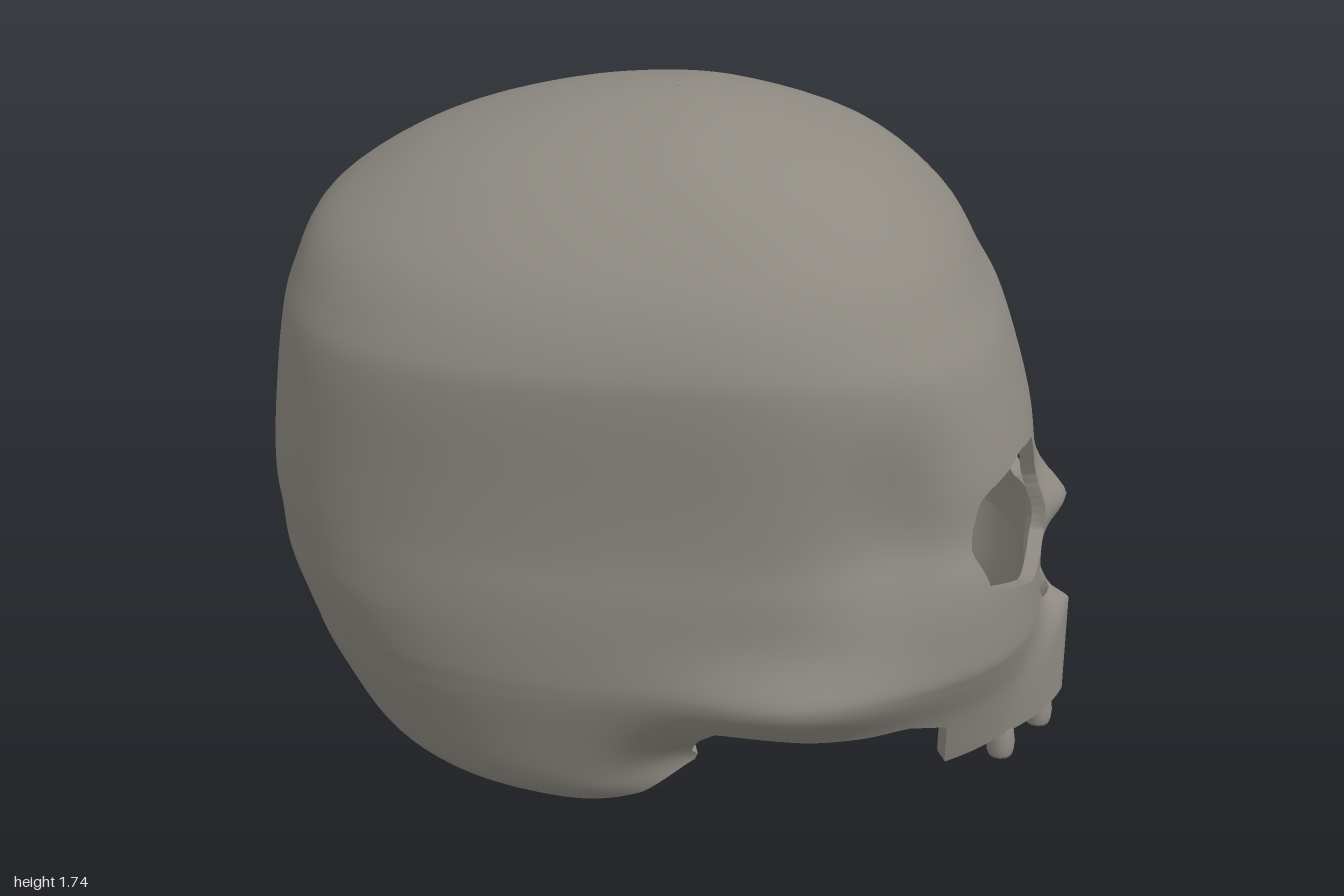
import * as THREE from 'three';

const bone = new THREE.MeshStandardMaterial({ color: 0x8e8a82 });
bone.name = 'bone';

const THICK = 0.035, COLS = 192, STEPS = 5;

// Horizontal sections: height, back x, front x, half width, back and front roundness
const levels = [
  [-0.03, -0.55, 0.92, 0.41, 2.6, 2],
  [0, -0.6, 0.92, 0.44, 2.6, 2],
  [0.07, -0.71, 0.92, 0.52, 2.6, 2],
  [0.15, -0.8, 0.92, 0.565, 2.5, 2.08],
  [0.3, -0.88, 0.92, 0.605, 2.5, 2.35],
  [0.38, -0.915, 0.92, 0.625, 2.5, 2.6],
  [0.43, -0.93, 0.92, 0.635, 2.5, 2.8],
  [0.48, -0.945, 0.918, 0.64, 2.55, 3],
  [0.6, -0.98, 0.915, 0.645, 2.6, 3],
  [0.7, -0.99, 0.915, 0.645, 2.6, 2.82],
  [0.8, -1, 0.89, 0.64, 2.6, 2.65],
  [0.95, -0.99, 0.87, 0.645, 2.6, 2.65],
  [1.18, -0.96, 0.8, 0.66, 2.55, 2.6],
  [1.3, -0.93, 0.74, 0.65, 2.4, 2.45],
  [1.45, -0.85, 0.655, 0.575, 2.25, 2.35],
  [1.6, -0.63, 0.49, 0.42, 2.15, 2.25],
  [1.69, -0.37, 0.26, 0.26, 2.1, 2.1],
  [1.73, -0.15, 0.1, 0.1, 2, 2],
  [1.738, -0.002, 0.002, 0.002, 2, 2],
];

// Openings: sockets and nose in (z, y), underside in (x, y)
const socket = [[0.09, 0.79], [0.14, 0.925], [0.27, 0.95], [0.43, 0.905], [0.46, 0.765], [0.455, 0.67], [0.285, 0.605], [0.12, 0.65]];
const nose = [[0, 0.7], [0.045, 0.61], [0.09, 0.45], [0.05, 0.43], [-0.05, 0.43], [-0.09, 0.45], [-0.045, 0.61]];
const underside = [
  [-1.3, 0], [-0.6, 0], [-0.47, 0.03], [-0.3, 0.01], [-0.2, 0.01], [-0.05, 0.04], [0.09, 0.12], [0.07, 0.15],
  [0.1, 0.27], [0.14, 0.33], [0.36, 0.3], [0.5, 0.3], [0.6, 0.31], [0.695, 0.27], [0.695, 0.13], [1.3, 0.13], [1.3, -1], [-1.3, -1],
];

// Signed distance to a polygon, positive outside it
function distance(poly, x, y) {
  let best = Infinity, inside = false;
  poly.forEach(([ax, ay], i) => {
    const [bx, by] = poly[(i + 1) % poly.length];
    const dx = bx - ax, dy = by - ay;
    const t = THREE.MathUtils.clamp(((x - ax) * dx + (y - ay) * dy) / (dx * dx + dy * dy), 0, 1);
    best = Math.min(best, Math.hypot(x - ax - t * dx, y - ay - t * dy));
    if ((ay > y) !== (by > y) && x < ax + ((y - ay) / dy) * dx) inside = !inside;
  });
  return inside ? -best : best;
}

function keep(p) {
  const under = distance(underside, p.x, p.y);
  if (p.x < 0.3) return under;
  return Math.min(under, distance(socket, Math.abs(p.z), p.y), distance(nose, p.z, p.y));
}

// Smooth blend of the section table
function sectionAt(v) {
  const i = Math.min(Math.floor(v), levels.length - 2), t = v - i;
  const row = (k) => levels[THREE.MathUtils.clamp(k, 0, levels.length - 1)];
  return row(i).map((b, k) => {
    const a = row(i - 1)[k], c = row(i + 1)[k], d = row(i + 2)[k];
    return b + 0.5 * t * (c - a + t * (2 * a - 5 * b + 4 * c - d + t * (3 * (b - c) + d - a)));
  });
}

const bump = (x, y, cx, cy, sx, sy) => Math.exp(-(((x - cx) / sx) ** 2) - ((y - cy) / sy) ** 2);

function surfacePoint(section, angle) {
  const [y, back, front, width, nb, nf] = section;
  const c = Math.cos(angle), s = Math.sin(angle);
  const a = c > 0 ? front : -back, n = c > 0 ? nf : nb;
  const r = (Math.abs(c / a) ** n + Math.abs(s / width) ** n) ** (-1 / n);
  let x = r * c, z = r * s;
  // cheek arch, hollow temple and the skull base turning in behind the jaw
  const side = 0.065 * bump(x, y, 0.33, 0.43, 0.27, 0.1)
    - 0.05 * bump(x, y, 0.54, 0.86, 0.13, 0.22)
    - 0.17 * bump(x, y, 0.12, 0.13, 0.2, 0.13);
  z += side * THREE.MathUtils.clamp(z / 0.3, -1, 1);
  // nasal bridge, and the wedge-shaped front of the jaw
  if (c > 0) {
    const off = Math.abs(z);
    const wedge = Math.max(0, 1 - off / 0.24) * (1 - THREE.MathUtils.smoothstep(y, 0.4 - off, 0.45 + off * 0.5));
    x += 0.06 * bump(z, y, 0, 0.7, 0.07, 0.07) + 0.08 * wedge;
  }
  return new THREE.Vector3(x, y, z);
}

function geometryFrom(positions, normals) {
  const g = new THREE.BufferGeometry();
  g.setAttribute('position', new THREE.Float32BufferAttribute(positions, 3));
  if (normals) g.setAttribute('normal', new THREE.Float32BufferAttribute(normals, 3));
  else g.computeVertexNormals();
  return g;
}

function buildShell() {
  // Full closed surface with smooth normals
  const rows = (levels.length - 1) * STEPS, pts = [], index = [];
  for (let i = 0; i <= rows; i++) {
    const section = sectionAt(i / STEPS);
    for (let j = 0; j < COLS; j++) pts.push(surfacePoint(section, (j / COLS) * Math.PI * 2));
  }
  for (let i = 0; i < rows; i++) {
    for (let j = 0; j < COLS; j++) {
      const a = i * COLS + j, b = i * COLS + ((j + 1) % COLS);
      index.push(a, a + COLS, b, b, a + COLS, b + COLS);
    }
  }
  const grid = new THREE.BufferGeometry().setFromPoints(pts);
  grid.setIndex(index);
  grid.computeVertexNormals();
  const verts = pts.map((p, i) => ({ p, n: new THREE.Vector3().fromBufferAttribute(grid.attributes.normal, i), f: keep(p) }));

  // Cut the openings, then add the inner wall and the rims
  const outer = [], outerN = [], inner = [], innerN = [], rim = [];
  const inset = (v) => v.p.clone().addScaledVector(v.n, -THICK);
  for (let k = 0; k < index.length; k += 3) {
    const tri = [0, 1, 2].map((m) => verts[index[k + m]]), poly = [];
    let exit, entry;
    tri.forEach((a, m) => {
      const b = tri[(m + 1) % 3];
      if (a.f >= 0) poly.push(a);
      if ((a.f >= 0) !== (b.f >= 0)) {
        const t = a.f / (a.f - b.f);
        const v = { p: a.p.clone().lerp(b.p, t), n: a.n.clone().lerp(b.n, t).normalize() };
        poly.push(v);
        if (a.f >= 0) exit = v; else entry = v;
      }
    });
    for (let m = 1; m + 1 < poly.length; m++) {
      for (const v of [poly[0], poly[m], poly[m + 1]]) {
        outer.push(...v.p.toArray());
        outerN.push(...v.n.toArray());
      }
      for (const v of [poly[0], poly[m + 1], poly[m]]) {
        inner.push(...inset(v).toArray());
        innerN.push(...v.n.clone().negate().toArray());
      }
    }
    if (exit) {
      const qa = inset(exit), qb = inset(entry);
      for (const p of [entry.p, exit.p, qa, entry.p, qa, qb]) rim.push(...p.toArray());
    }
  }
  return { cranium: geometryFrom(outer, outerN), innerWall: geometryFrom(inner, innerN), openingRims: geometryFrom(rim) };
}

export function createModel() {
  const group = new THREE.Group();
  group.name = 'skull';
  const add = (name, geometry) => {
    const mesh = new THREE.Mesh(geometry, bone);
    mesh.name = name;
    group.add(mesh);
    return mesh;
  };

  for (const [name, geometry] of Object.entries(buildShell())) add(name, geometry);

  // Horseshoe gum that carries the teeth
  const arc = [];
  for (let i = -12; i <= 12; i++) {
    const p = surfacePoint([0.13, -1, 0.905, 0.55, 2, 2], (i / 12) * 0.47);
    arc.push(new THREE.Vector2(p.x, p.z));
  }
  const innerArc = arc.map((p) => new THREE.Vector2(0.69 + (p.x - 0.69) * 0.45, p.y * 0.6)).reverse();
  const gum = new THREE.ExtrudeGeometry(new THREE.Shape([...arc, ...innerArc]), { depth: 0.03, bevelEnabled: false });
  add('gum', gum.rotateX(-Math.PI / 2)).position.y = 0.132;

  // Remaining upper teeth
  const profile = [[0, 0], [0.03, 0.002], [0.034, 0.012], [0.036, 0.04], [0.031, 0.075], [0.027, 0.09]];
  const toothShape = new THREE.LatheGeometry(profile.map(([x, y]) => new THREE.Vector2(x, y)), 12);
  for (const [x, z] of [[0.74, -0.29], [0.84, -0.17], [0.94, 0.04], [0.84, 0.2]]) {
    add('tooth', toothShape).position.set(x, 0.05, z);
  }
  return group;
}
